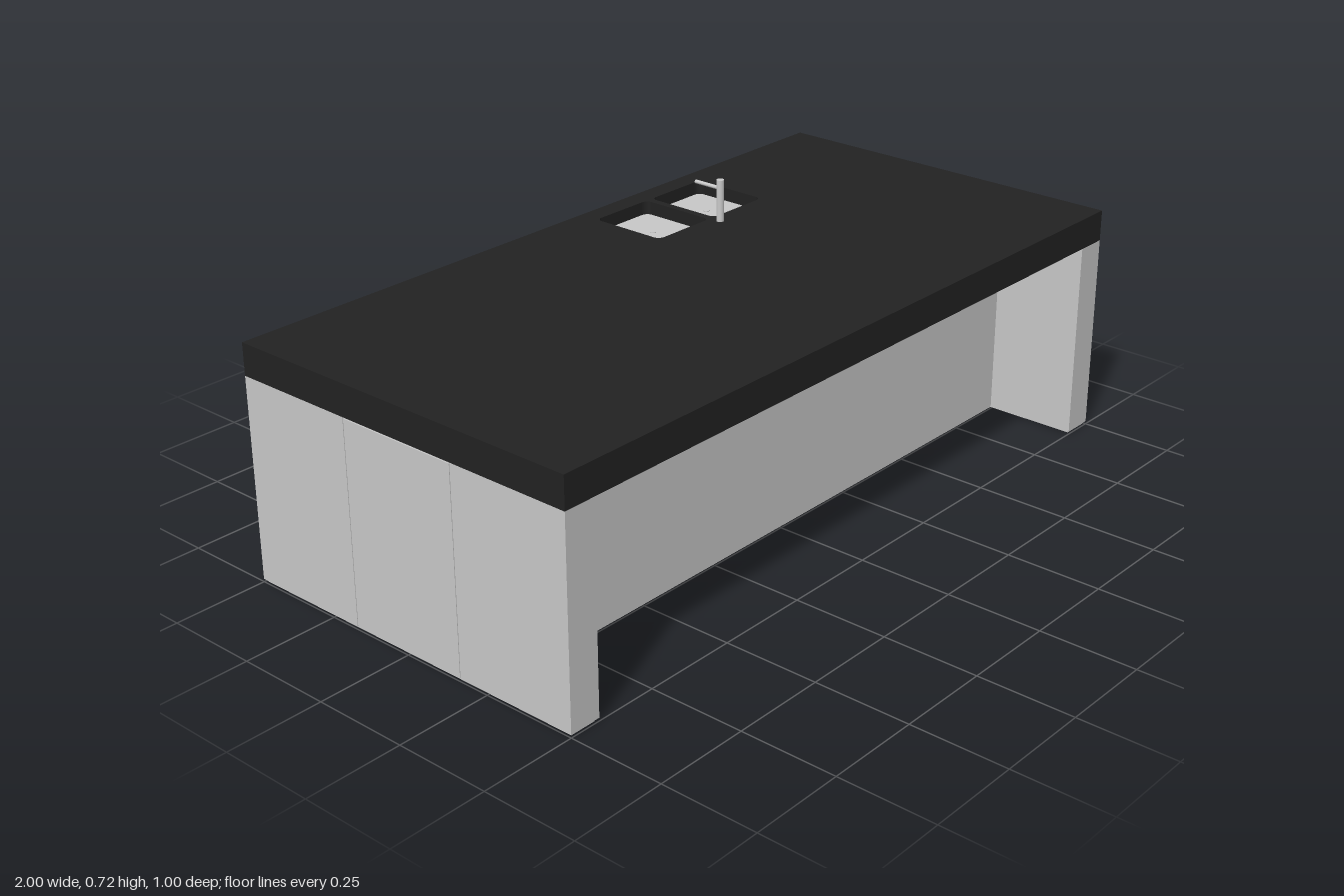
import * as THREE from 'three';

const black = new THREE.MeshStandardMaterial({ color: 0x222222 });
black.name = 'blackWorktop';
const grey = new THREE.MeshStandardMaterial({ color: 0xc8c8c8 });
grey.name = 'lightGrey';

export function createModel() {
  const island = new THREE.Group();
  island.name = 'kitchenIsland';

  const add = (name, geometry, material) => {
    const mesh = new THREE.Mesh(geometry, material);
    mesh.name = name;
    island.add(mesh);
    return mesh;
  };
  // Box given by its minimum and maximum on each axis
  const box = (name, x0, x1, y0, y1, z0, z1, material = grey) => {
    const mesh = add(name, new THREE.BoxGeometry(x1 - x0, y1 - y0, z1 - z0), material);
    mesh.position.set((x0 + x1) / 2, (y0 + y1) / 2, (z0 + z1) / 2);
    return mesh;
  };
  const rectangle = (x0, x1, y0, y1) => new THREE.Shape([
    new THREE.Vector2(x0, y0), new THREE.Vector2(x1, y0),
    new THREE.Vector2(x1, y1), new THREE.Vector2(x0, y1),
  ]);
  const roundedHole = (x0, x1, y0, y1, r) => {
    const p = new THREE.Path();
    p.absarc(x1 - r, y1 - r, r, 0, Math.PI / 2);
    p.absarc(x0 + r, y1 - r, r, Math.PI / 2, Math.PI);
    p.absarc(x0 + r, y0 + r, r, Math.PI, Math.PI * 1.5);
    p.absarc(x1 - r, y0 + r, r, Math.PI * 1.5, Math.PI * 2);
    p.closePath();
    return p;
  };

  // Worktop with two rounded sink openings
  const basins = [[0.095, 0.285], [0.305, 0.495]];
  const top = rectangle(-1, 1, -0.5, 0.5);
  for (const [x0, x1] of basins) top.holes.push(roundedHole(x0, x1, 0.23, 0.445, 0.018));
  const worktop = add('worktop', new THREE.ExtrudeGeometry(top, {
    depth: 0.082, bevelEnabled: false, curveSegments: 6,
  }), black);
  worktop.rotation.x = -Math.PI / 2;
  worktop.position.y = 0.53;

  // Sink floors and drains
  for (const [x0, x1] of basins) {
    box('sinkBasin', x0 - 0.003, x1 + 0.003, 0.54, 0.577, -0.448, -0.227);
    const drain = add('sinkDrain', new THREE.CylinderGeometry(0.008, 0.008, 0.002, 16), grey);
    drain.position.set((x0 + x1) / 2, 0.578, -0.3375);
  }

  // Tap
  const post = add('tapPost', new THREE.CylinderGeometry(0.01, 0.01, 0.112, 20), grey);
  post.position.set(0.295, 0.667, -0.2);
  const spout = add('tapSpout', new THREE.CylinderGeometry(0.005, 0.005, 0.08, 16), grey);
  spout.rotation.x = Math.PI / 2;
  spout.position.set(0.295, 0.7, -0.242);

  // Cabinet body, set back under the worktop at the front
  box('cabinetBody', -0.915, 0.915, 0.008, 0.53, -0.47, 0.25);
  box('plinth', -0.92, 0.92, 0, 0.008, -0.465, 0.245);

  // End walls, each faced with three panels
  for (const side of [-1, 1]) {
    const span = (a, b) => (side > 0 ? [a, b] : [-b, -a]);
    box('endWall', ...span(0.915, 0.997), 0.008, 0.53, -0.5, 0.5);
    box('endWallFoot', ...span(0.922, 0.993), 0, 0.008, -0.493, 0.493);
    const edges = [-0.5, -0.167, 0.167, 0.5];
    for (let i = 0; i < 3; i++) {
      box('endPanel', ...span(0.997, 1), 0.008, i === 1 ? 0.527 : 0.53,
        edges[i] + (i > 0 ? 0.001 : 0), edges[i + 1] - (i < 2 ? 0.001 : 0));
    }
  }

  // Back fronts with round finger holes, above the recessed toe kick
  const gap = 0.0015;
  const front = (name, x0, x1, y0, y1, holeX) => {
    const shape = rectangle(x0 + gap, x1 - gap, y0 + gap, y1 - gap);
    if (holeX !== undefined) {
      const hole = new THREE.Path();
      hole.absarc(holeX, y1 - 0.03, 0.009, 0, Math.PI * 2);
      shape.holes.push(hole);
    }
    const mesh = add(name, new THREE.ExtrudeGeometry(shape, {
      depth: 0.03, bevelEnabled: false, curveSegments: 10,
    }), grey);
    mesh.position.z = -0.5;
  };
  const low = 0.055, high = 0.53;
  front('appliancePanel', 0.574, 0.915, low, high);
  front('door', 0.3, 0.574, low, high, 0.338);
  front('door', 0.027, 0.3, low, high, 0.262);
  front('door', -0.247, 0.027, low, high, -0.011);
  const levels = [low, 0.288, 0.414, high];
  for (const [x0, x1] of [[-0.581, -0.247], [-0.915, -0.581]]) {
    for (let i = 0; i < 3; i++) front('drawer', x0, x1, levels[i], levels[i + 1], (x0 + x1) / 2);
  }

  return island;
}
